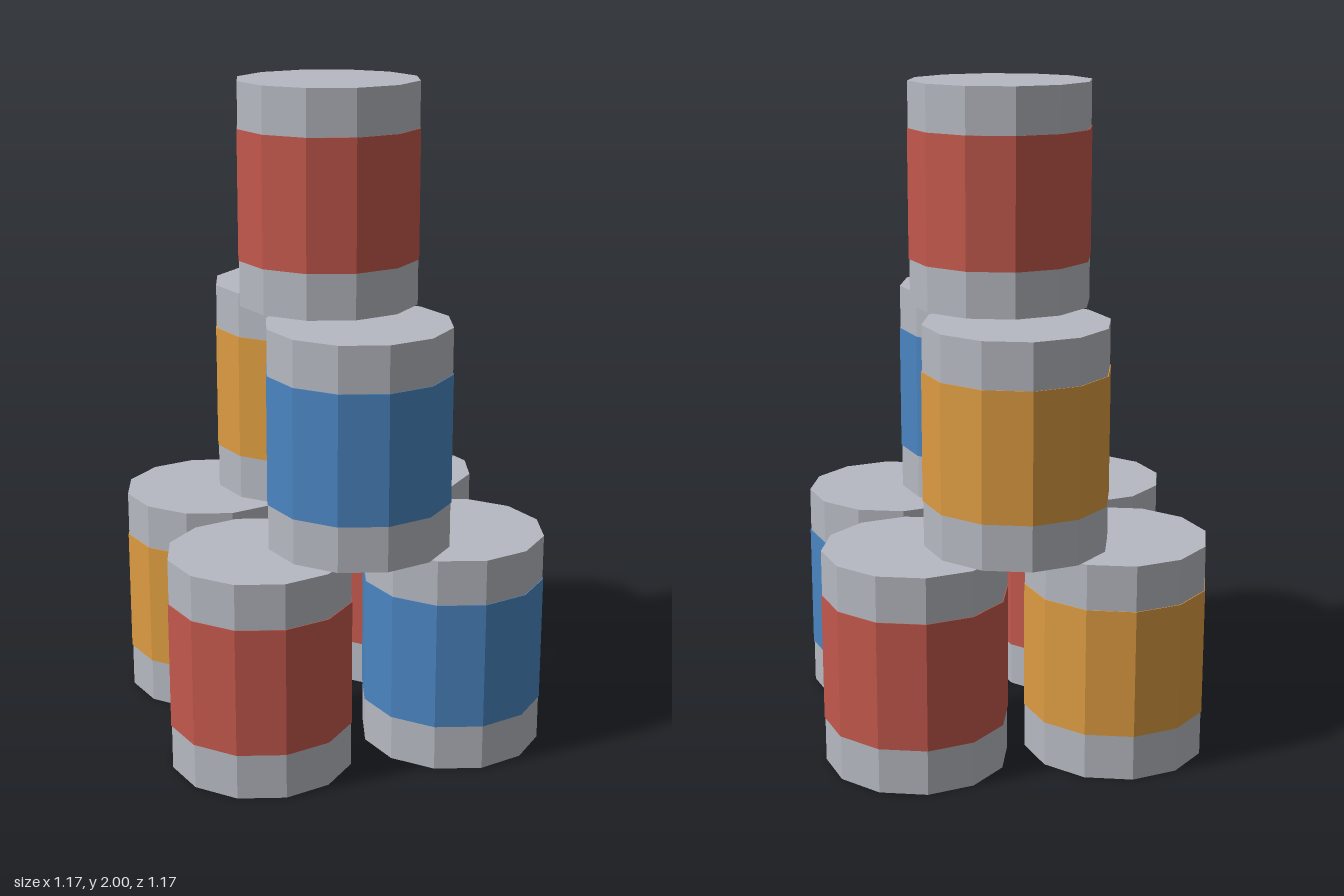
import * as THREE from 'three';

const flat = (name, color) => {
  const m = new THREE.MeshStandardMaterial({ color, flatShading: true });
  m.name = name;
  return m;
};

export function createModel() {
  const metal = flat('metal grey', 0xb6b9c1);
  const red = flat('label red', 0xc2584c);
  const blue = flat('label blue', 0x4a85c2);
  const orange = flat('label orange', 0xdc9b41);

  const sides = 12, canHeight = 2 / 3, spread = 0.304;
  const bodyGeometry = new THREE.CylinderGeometry(0.277, 0.277, canHeight, sides);
  const labelGeometry = new THREE.CylinderGeometry(0.2795, 0.2795, 0.39, sides);

  // One can: plain metal body with a slightly proud label band
  function makeCan(name, x, level, z, labelMaterial) {
    const can = new THREE.Group();
    can.name = name;
    const body = new THREE.Mesh(bodyGeometry, metal);
    body.name = 'canBody';
    const label = new THREE.Mesh(labelGeometry, labelMaterial);
    label.name = 'canLabel';
    can.add(body, label);
    can.position.set(x, (level + 0.5) * canHeight, z);
    return can;
  }

  const model = new THREE.Group();
  model.name = 'canPyramid';
  model.add(
    // Bottom layer of four
    makeCan('bottomFrontRightCan', -spread, 0, spread, red),
    makeCan('bottomFrontLeftCan', spread, 0, spread, blue),
    makeCan('bottomBackRightCan', -spread, 0, -spread, orange),
    makeCan('bottomBackLeftCan', spread, 0, -spread, red),
    // Middle layer of two
    makeCan('middleFrontCan', 0, 1, spread, blue),
    makeCan('middleBackCan', 0, 1, -spread, orange),
    // Top can
    makeCan('topCan', 0, 2, 0, red)
  );
  return model;
}
